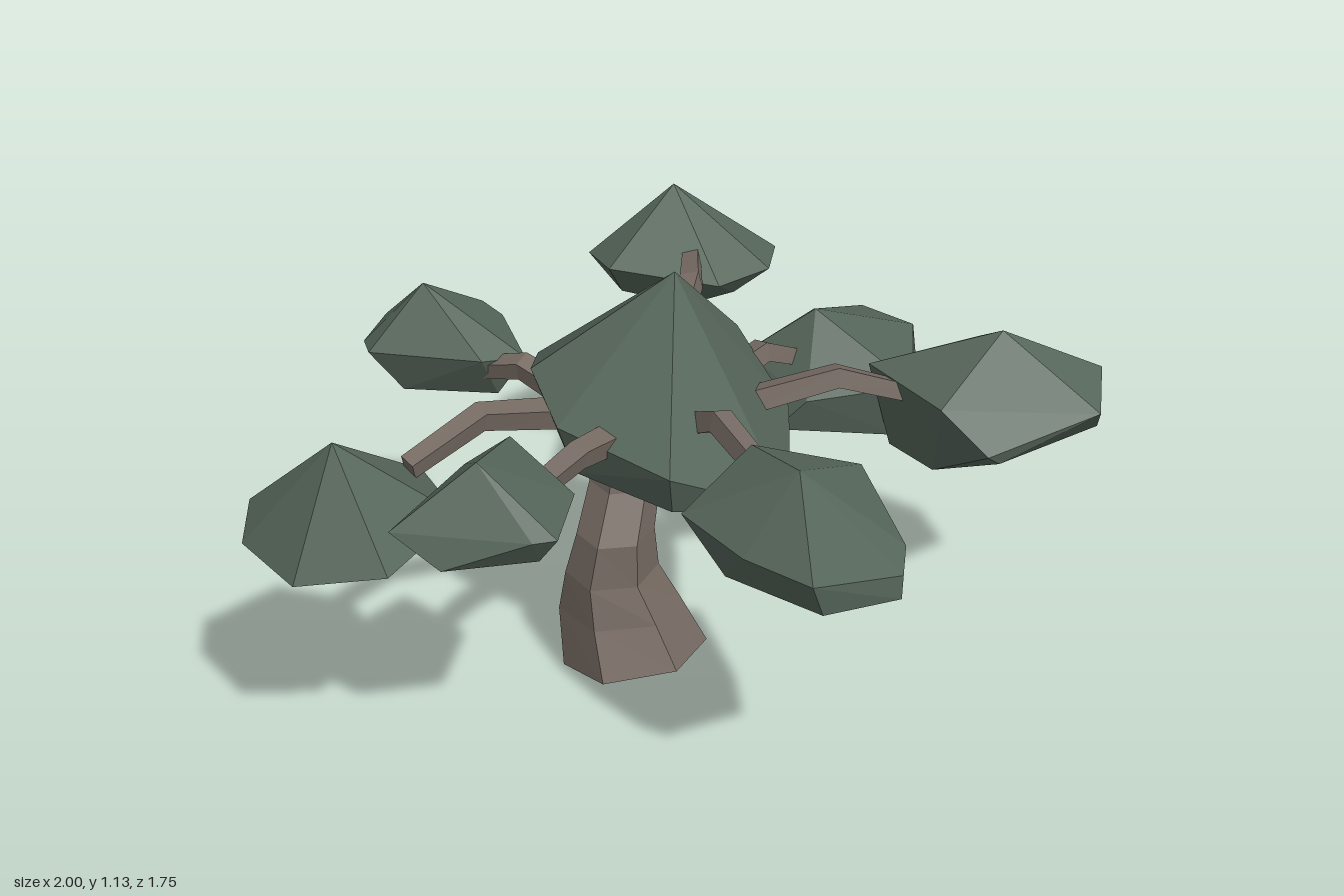
import * as THREE from 'three';
import { ConvexGeometry } from 'three/addons/geometries/ConvexGeometry.js';

const leaf = new THREE.MeshStandardMaterial({ color: 0x56665a, flatShading: true });
leaf.name = 'dull green leaves';
const bark = new THREE.MeshStandardMaterial({ color: 0x766b63, flatShading: true });
bark.name = 'grey brown bark';

// Faceted leaf clump: hull of a peak, a rim and a few underside points
function clump(name, peak, rim, under) {
  const points = [peak, ...rim, ...under].map(p => new THREE.Vector3(...p));
  const mesh = new THREE.Mesh(new ConvexGeometry(points), leaf);
  mesh.name = name;
  return mesh;
}

// Closed low-poly skin over a stack of rings (arrays of Vector3, counter-clockwise about the axis)
function loft(name, rings) {
  const n = rings[0].length, pos = [], idx = [];
  rings.forEach(r => r.forEach(p => pos.push(p.x, p.y, p.z)));
  for (let k = 0; k < rings.length - 1; k++) {
    for (let i = 0; i < n; i++) {
      const a = k * n + i, b = k * n + (i + 1) % n;
      idx.push(a, b, a + n, b, b + n, a + n);
    }
  }
  const top = (rings.length - 1) * n;
  for (let i = 1; i < n - 1; i++) idx.push(0, i + 1, i, top, top + i, top + i + 1);
  const g = new THREE.BufferGeometry();
  g.setAttribute('position', new THREE.Float32BufferAttribute(pos, 3));
  g.setIndex(idx);
  g.computeVertexNormals();
  const mesh = new THREE.Mesh(g, bark);
  mesh.name = name;
  return mesh;
}

// Leaning six-sided trunk: x, y, z, x radius, z radius, tilt of each ring
function trunk() {
  const rows = [
    [-0.045, 0.046, -0.05, 0.19, 0.18, 0.25],
    [-0.065, 0.19, -0.09, 0.155, 0.16, 0.1],
    [-0.09, 0.31, -0.085, 0.122, 0.11, 0],
    [-0.088, 0.43, -0.07, 0.1, 0.092, 0],
    [-0.035, 0.55, -0.1, 0.092, 0.085, 0],
    [-0.005, 0.7, -0.108, 0.09, 0.08, 0],
  ];
  return loft('trunk', rows.map(([x, y, z, rx, rz, tilt]) =>
    Array.from({ length: 6 }, (_, i) => {
      const a = i / 6 * Math.PI * 2;
      const dz = Math.cos(a) * rz;
      return new THREE.Vector3(x + Math.sin(a) * rx, y + tilt * dz, z + dz);
    })));
}

// Bent, four-sided branch tapering along its path
function branch(name, path) {
  const pts = path.map(p => new THREE.Vector3(...p));
  const up = new THREE.Vector3(0, 1, 0);
  return loft(name, pts.map((p, k) => {
    const dir = pts[Math.min(k + 1, pts.length - 1)].clone().sub(pts[Math.max(k - 1, 0)]).normalize();
    const side = new THREE.Vector3().crossVectors(up, dir).normalize();
    const lift = new THREE.Vector3().crossVectors(dir, side);
    const r = 0.04 - 0.005 * k;
    return Array.from({ length: 4 }, (_, i) => {
      const a = (i + 0.35) / 4 * Math.PI * 2;
      return p.clone().addScaledVector(side, Math.cos(a) * r).addScaledVector(lift, Math.sin(a) * r);
    });
  }));
}

export function createModel() {
  const tree = new THREE.Group();
  tree.name = 'tree';
  tree.add(trunk());

  // Central canopy
  tree.add(clump('mainCanopy', [0.04, 1.13, 0],
    [[-0.09, 0.79, -0.4], [0.12, 0.8, -0.42], [0.34, 0.78, -0.24], [0.31, 0.87, -0.1], [0.37, 0.68, 0.04],
      [0.13, 0.62, 0.34], [-0.18, 0.78, 0.28], [-0.29, 0.82, -0.01], [-0.25, 0.89, -0.18]],
    [[0.33, 0.65, -0.23], [0.24, 0.67, -0.29], [-0.13, 0.68, -0.29], [-0.25, 0.69, 0], [-0.15, 0.67, 0.25]]));

  // Outer clumps
  tree.add(clump('frontClump', [-0.1, 0.95, 0.63],
    [[-0.26, 0.8, 0.43], [-0.06, 0.9, 0.42], [0.16, 0.83, 0.54], [0.06, 0.79, 0.8],
      [-0.01, 0.78, 0.87], [-0.26, 0.85, 0.87], [-0.28, 0.82, 0.67]],
    [[-0.22, 0.76, 0.86], [-0.01, 0.72, 0.87], [0.13, 0.73, 0.57], [-0.23, 0.69, 0.55]]));
  tree.add(clump('leftFrontClump', [0.75, 0.92, 0.38],
    [[0.53, 0.8, 0.15], [0.87, 0.79, 0.19], [0.96, 0.74, 0.3], [1, 0.79, 0.49],
      [0.86, 0.76, 0.62], [0.57, 0.7, 0.54], [0.51, 0.8, 0.43]],
    [[0.97, 0.56, 0.32], [0.6, 0.555, 0.17], [0.57, 0.58, 0.36], [0.95, 0.66, 0.54], [0.61, 0.67, 0.54]]));
  tree.add(clump('leftClump', [0.54, 0.86, -0.07],
    [[0.42, 0.72, -0.2], [0.71, 0.73, -0.27], [0.83, 0.73, -0.21], [0.85, 0.74, -0.03],
      [0.63, 0.73, 0.21], [0.41, 0.69, 0.06]],
    [[0.36, 0.6, 0], [0.82, 0.535, 0.05], [0.78, 0.65, -0.25], [0.48, 0.64, -0.2], [0.63, 0.57, 0.17]]));
  tree.add(clump('leftBackClump', [0.52, 1.01, -0.65],
    [[0.34, 0.8, -0.8], [0.61, 0.69, -0.88], [0.81, 0.75, -0.76], [0.85, 0.75, -0.7],
      [0.81, 0.78, -0.56], [0.69, 0.79, -0.44], [0.51, 0.79, -0.43], [0.31, 0.81, -0.66]],
    [[0.55, 0.645, -0.63], [0.75, 0.67, -0.7], [0.38, 0.71, -0.7], [0.6, 0.73, -0.48]]));
  tree.add(clump('rightBackClump', [-0.31, 0.98, -0.57],
    [[-0.3, 0.8, -0.8], [-0.12, 0.86, -0.61], [-0.08, 0.82, -0.58], [-0.14, 0.8, -0.38],
      [-0.26, 0.82, -0.39], [-0.46, 0.82, -0.6], [-0.43, 0.81, -0.68]],
    [[-0.3, 0.67, -0.64], [-0.14, 0.71, -0.55], [-0.2, 0.7, -0.42], [-0.38, 0.7, -0.58]]));
  tree.add(clump('rightClump', [-0.83, 0.94, -0.07],
    [[-1, 0.66, -0.23], [-0.94, 0.72, -0.3], [-0.71, 0.76, -0.3], [-0.58, 0.75, -0.14],
      [-0.59, 0.72, 0.04], [-0.83, 0.7, 0.14], [-0.99, 0.665, 0]],
    [[-0.67, 0.59, -0.05], [-0.9, 0.63, -0.05], [-0.7, 0.62, -0.2], [-0.58, 0.67, -0.05]]));
  tree.add(clump('rightFrontClump', [-0.63, 0.95, 0.2],
    [[-0.58, 0.86, 0.06], [-0.46, 0.89, 0.06], [-0.41, 0.81, 0.15], [-0.41, 0.81, 0.24],
      [-0.56, 0.83, 0.4], [-0.61, 0.83, 0.38], [-0.82, 0.815, 0.14]],
    [[-0.43, 0.74, 0.18], [-0.57, 0.75, 0.34], [-0.76, 0.75, 0.25], [-0.58, 0.74, 0.08]]));

  // Branches reaching from the canopy into each clump
  const branches = {
    frontBranch: [[-0.02, 0.8, 0.12], [-0.03, 0.88, 0.27], [-0.06, 0.85, 0.46]],
    leftFrontBranch: [[0.18, 0.76, 0.06], [0.4, 0.82, 0.18], [0.56, 0.76, 0.26]],
    leftBranch: [[0.24, 0.75, -0.07], [0.36, 0.8, -0.06], [0.46, 0.75, -0.07]],
    leftBackBranch: [[0.2, 0.8, -0.22], [0.37, 0.87, -0.37], [0.5, 0.84, -0.54]],
    rightBackBranch: [[-0.12, 0.76, -0.2], [-0.18, 0.81, -0.33], [-0.23, 0.78, -0.43]],
    rightBranch: [[-0.2, 0.8, -0.08], [-0.44, 0.86, -0.1], [-0.64, 0.8, -0.09]],
    rightFrontBranch: [[-0.16, 0.8, 0.07], [-0.32, 0.82, 0.12], [-0.48, 0.81, 0.18]],
  };
  for (const [name, path] of Object.entries(branches)) tree.add(branch(name, path));
  return tree;
}
